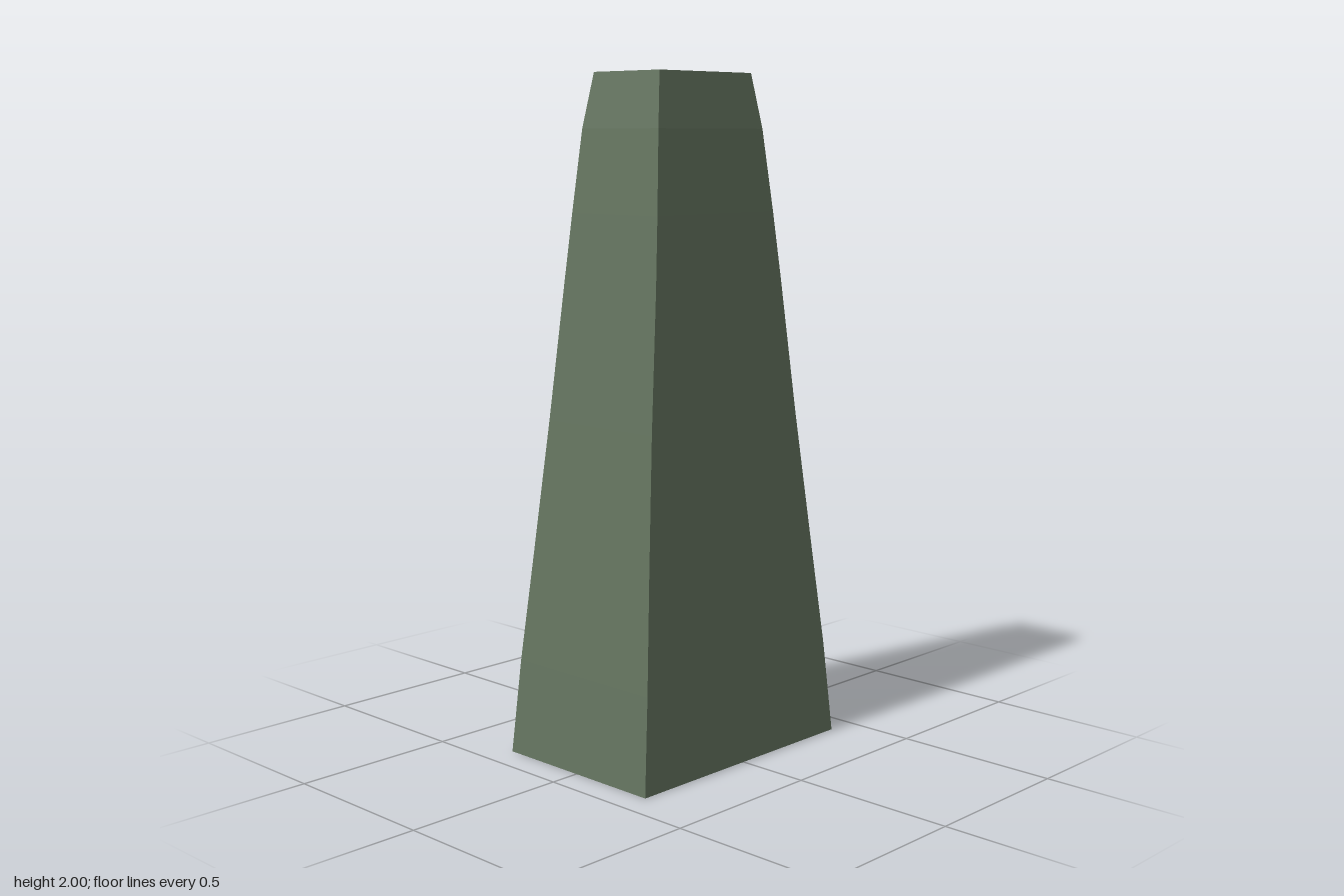
import * as THREE from 'three';

const green = new THREE.MeshStandardMaterial({ color: 0x64745f, side: THREE.DoubleSide });
const teal = new THREE.MeshStandardMaterial({ color: 0x4a9fa5, side: THREE.DoubleSide });
const white = new THREE.MeshStandardMaterial({ color: 0xe6e6e4 });
green.name = 'greenStone';
teal.name = 'tealGlass';
white.name = 'whiteTrim';

// Tapering profile of the tower: height, -x edge, +x edge, half depth in z
const PROFILE = [
  [0, -0.28, 0.28, 0.41], [0.28, -0.265, 0.264, 0.384], [0.6, -0.241, 0.238, 0.35],
  [1, -0.213, 0.207, 0.307], [1.4, -0.19, 0.182, 0.264], [1.6, -0.177, 0.167, 0.243],
  [1.84, -0.16, 0.146, 0.217], [2, -0.138, 0.124, 0.19],
];
function at(y, col) {
  let i = 1;
  while (i < PROFILE.length - 1 && PROFILE[i][0] < y) i++;
  const p = PROFILE[i - 1], q = PROFILE[i];
  return THREE.MathUtils.lerp(p[col], q[col], (y - p[0]) / (q[0] - p[0]));
}
const xEnd = (y) => at(y, 1);             // end faces of the two wings
const xBack = (y) => at(y, 2);            // long closed side
const zOut = (y) => at(y, 3);             // outer half depth
const zIn = (y) => at(y, 3) * 0.5;        // inner walls of the wings
const xWall = (y) => -0.085 + 0.02 * y;   // wall at the bottom of the notch

export function createModel() {
  const model = new THREE.Group();
  model.name = 'tower';

  function quads(name, list, material, parent) {
    const pos = [];
    for (const [a, b, c, d] of list) pos.push(...a, ...b, ...c, ...a, ...c, ...d);
    const g = new THREE.BufferGeometry();
    g.setAttribute('position', new THREE.Float32BufferAttribute(pos, 3));
    g.computeVertexNormals();
    const mesh = new THREE.Mesh(g, material);
    mesh.name = name;
    parent.add(mesh);
  }

  // Upright sheet between two edges; each edge is a pair of functions [x(y), z(y)]
  function sheet(name, left, right, y0, y1, material = green, side = 1, parent = model) {
    const ys = [y0, ...PROFILE.map((p) => p[0]).filter((y) => y > y0 + 1e-4 && y < y1 - 1e-4), y1];
    const [l, r] = side > 0 ? [left, right] : [right, left];
    const pt = (e, y) => [e[0](y), y, e[1](y)];
    const list = [];
    for (let i = 1; i < ys.length; i++) {
      list.push([pt(l, ys[i - 1]), pt(r, ys[i - 1]), pt(r, ys[i]), pt(l, ys[i])]);
    }
    quads(name, list, material, parent);
  }

  function box(name, sx, sy, sz, x, y, z, material, parent = model) {
    const mesh = new THREE.Mesh(new THREE.BoxGeometry(sx, sy, sz), material);
    mesh.position.set(x, y, z);
    mesh.name = name;
    parent.add(mesh);
  }

  // Tall recessed strip with a column of glass panes, set into a wall facing -x
  function windowStrip(name, s, xFront, zA, zB, y0, y1, depth, count) {
    const group = new THREE.Group();
    group.name = name;
    model.add(group);
    const a = (y) => s * zA(y), b = (y) => s * zB(y);
    const xDeep = (y) => xFront(y) + depth;
    const xGlass = (y) => xDeep(y) - 0.004;
    sheet('recessBack', [xDeep, a], [xDeep, b], y0, y1, green, s, group);
    sheet('recessInnerSide', [xFront, a], [xDeep, a], y0, y1, green, s, group);
    sheet('recessOuterSide', [xDeep, b], [xFront, b], y0, y1, green, s, group);
    for (const [part, y, flip] of [['sill', y0, s], ['lintel', y1, -s]]) {
      const q = [[xFront(y), y, a(y)], [xFront(y), y, b(y)], [xDeep(y), y, b(y)], [xDeep(y), y, a(y)]];
      quads(part, [flip > 0 ? q : q.reverse()], green, group);
    }
    const inset = (t) => (y) => s * THREE.MathUtils.lerp(zA(y), zB(y), t);
    const step = (y1 - y0) / count;
    for (let i = 0; i < count; i++) {
      const low = y0 + i * step;
      sheet('pane', [xGlass, inset(0.13)], [xGlass, inset(0.87)], low + 0.015, low + step - 0.02, teal, s, group);
      if (i > 0) {
        box('crossBar', 0.012, 0.03, zB(low) - zA(low), xDeep(low) - 0.006, low, (a(low) + b(low)) / 2, green, group);
      }
    }
  }

  const neg = (f) => (y) => -f(y);
  const c = (v) => () => v;

  // Closed long side
  sheet('longSide', [xBack, zOut], [xBack, neg(zOut)], 0, 2);

  // Two mirrored wings with window strips on their ends
  const strip0 = 0.3, strip1 = 1.96;
  const zA = (y) => zOut(y) * 0.56, zB = (y) => zOut(y) * 0.93;
  for (const s of [1, -1]) {
    const m = (f) => (y) => s * f(y);
    sheet('wingOuterSide', [xEnd, m(zOut)], [xBack, m(zOut)], 0, 2, green, s);
    sheet('wingInnerSide', [xWall, m(zIn)], [xEnd, m(zIn)], 0, 2, green, s);
    sheet('wingEndBase', [xEnd, m(zIn)], [xEnd, m(zOut)], 0, strip0, green, s);
    sheet('wingEndTop', [xEnd, m(zIn)], [xEnd, m(zOut)], strip1, 2, green, s);
    sheet('wingEndInnerEdge', [xEnd, m(zIn)], [xEnd, m(zA)], strip0, strip1, green, s);
    sheet('wingEndOuterEdge', [xEnd, m(zB)], [xEnd, m(zOut)], strip0, strip1, green, s);
    windowStrip('wingWindows', s, xEnd, zA, zB, strip0, strip1, 0.047, 6);
  }

  // Notch wall: glazed entrance below, two window strips above
  const doorLow = 0.055, doorTop = 0.235, doorZ = 0.13;
  const wall0 = 0.37, wall1 = 1.96;
  const splay = (y) => THREE.MathUtils.lerp(zIn(0), doorZ, y / doorLow);
  const cA = c(0.02), cB = (y) => zOut(y) * 0.4;
  sheet('entranceApron', [xWall, neg(splay)], [xWall, splay], 0, doorLow, teal);
  sheet('entranceGlass', [xWall, c(-doorZ)], [xWall, c(doorZ)], doorLow, doorTop, teal);
  sheet('wallAboveDoor', [xWall, neg(zIn)], [xWall, zIn], doorTop, wall0);
  sheet('wallTop', [xWall, neg(zIn)], [xWall, zIn], wall1, 2);
  sheet('wallPier', [xWall, c(-0.02)], [xWall, c(0.02)], wall0, wall1);
  for (const s of [1, -1]) {
    const m = (f) => (y) => s * f(y);
    sheet('apronCheek', [xWall, m(splay)], [xWall, m(zIn)], 0, doorLow, green, s);
    sheet('doorCheek', [xWall, c(s * doorZ)], [xWall, m(zIn)], doorLow, doorTop, green, s);
    sheet('wallEdge', [xWall, m(cB)], [xWall, m(zIn)], wall0, wall1, green, s);
    windowStrip('notchWindows', s, xWall, cA, cB, wall0, wall1, 0.03, 6);
    box('doorJamb', 0.01, doorTop - doorLow, 0.008, -0.087, (doorLow + doorTop) / 2, s * doorZ, white);
    box('doorHandle', 0.008, 0.03, 0.006, -0.089, 0.14, s * 0.06, white);
  }
  box('doorHead', 0.01, 0.01, doorZ * 2 + 0.008, -0.087, doorTop, 0, white);
  box('doorMullion', 0.01, doorTop - doorLow, 0.012, -0.083, (doorLow + doorTop) / 2, 0, green);

  // Flat C-shaped roof
  const z = zOut(2), zi = zIn(2), xe = xEnd(2), xb = xBack(2), xw = xWall(2);
  const slab = (x0, x1, z0, z1) => [[x0, 2, z1], [x1, 2, z1], [x1, 2, z0], [x0, 2, z0]];
  quads('roof', [slab(xw, xb, -z, z), slab(xe, xw, zi, z), slab(xe, xw, -z, -zi)], green, model);

  return model;
}
